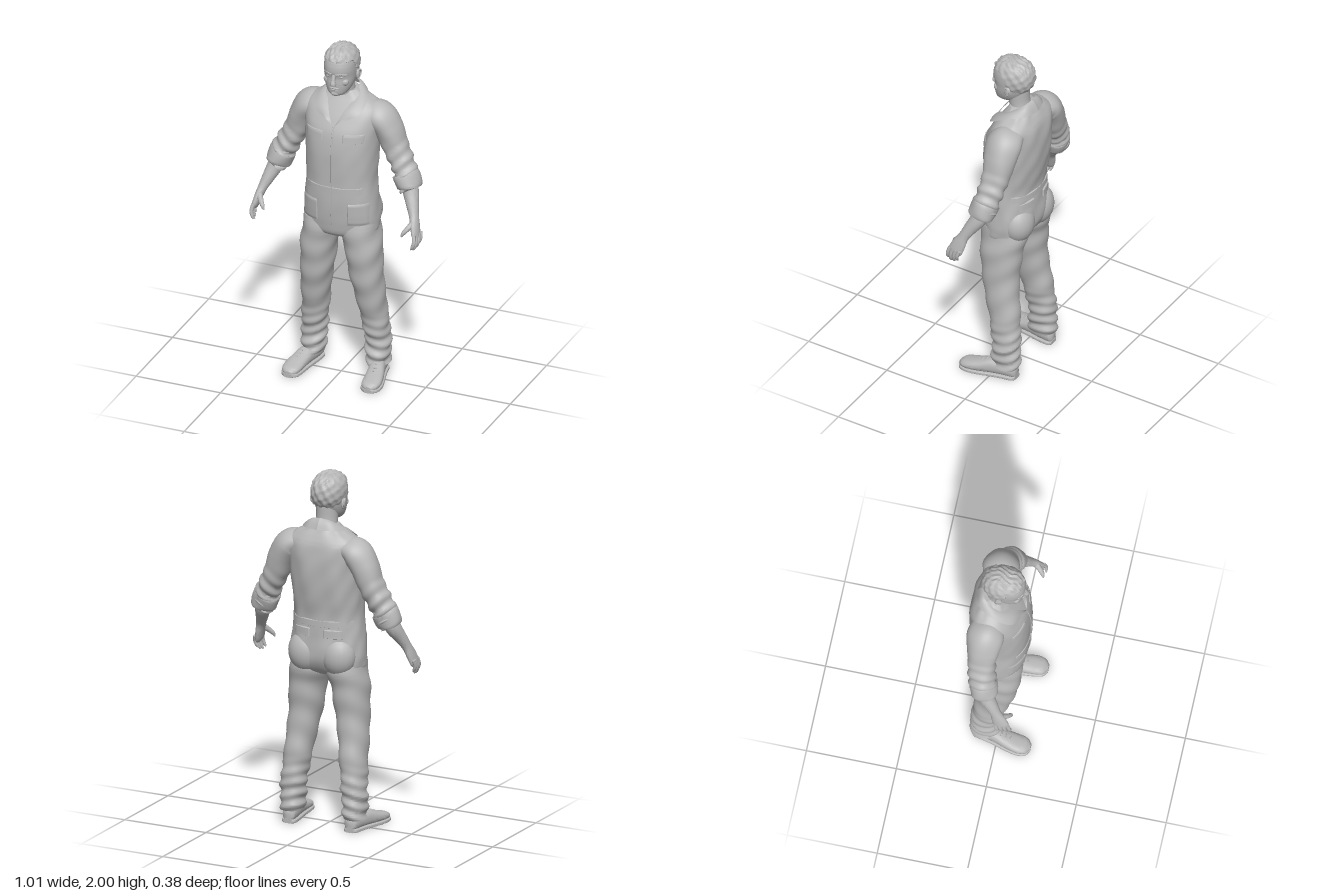
import * as THREE from 'three';
import { toCreasedNormals } from 'three/addons/utils/BufferGeometryUtils.js';

const V = (x, y, z) => new THREE.Vector3(x, y, z);
const spow = (v, p) => Math.sign(v) * Math.pow(Math.abs(v), p);

// Smooth skin over sections [x, y, z, radiusU, radiusV].
// axis 'y': level rings listed top down, 'z': upright rings listed back to front, 'path': rings square to the path
function loft(secs, { axis = 'y', n = 2, seg = 28, sub = 5, fold = null } = {}) {
  const path = new THREE.CatmullRomCurve3(secs.map(s => V(s[0], s[1], s[2])), false, 'catmullrom');
  const size = new THREE.CatmullRomCurve3(secs.map(s => V(s[3], s[4], 0)), false, 'catmullrom');
  const rows = (secs.length - 1) * sub, pos = [], idx = [];
  for (let i = 0; i <= rows; i++) {
    const t = i / rows, c = path.getPoint(t), r = size.getPoint(t);
    let u = V(1, 0, 0), v = axis === 'z' ? V(0, 1, 0) : V(0, 0, 1);
    if (axis === 'path') {
      const d = path.getTangent(t);
      v.addScaledVector(d, -v.dot(d)).normalize();
      u = v.clone().cross(d);
    }
    for (let j = 0; j < seg; j++) {
      const a = j / seg * Math.PI * 2, f = fold ? fold(t, a, c) : 0;
      const p = c.clone()
        .addScaledVector(u, spow(Math.cos(a), 2 / n) * (r.x + f))
        .addScaledVector(v, spow(Math.sin(a), 2 / n) * (r.y + f));
      pos.push(p.x, p.y, p.z);
      const k = i * seg + j, m = i * seg + (j + 1) % seg;
      if (i < rows) idx.push(k, m, k + seg, m, m + seg, k + seg);
    }
  }
  // end caps
  for (const [t, row] of [[0, 0], [1, rows]]) {
    const c = path.getPoint(t), k = pos.length / 3;
    pos.push(c.x, c.y, c.z);
    for (let j = 0; j < seg; j++) {
      const a = row * seg + j, b = row * seg + (j + 1) % seg;
      if (t) idx.push(k, a, b); else idx.push(k, b, a);
    }
  }
  const g = new THREE.BufferGeometry();
  g.setAttribute('position', new THREE.Float32BufferAttribute(pos, 3));
  g.setIndex(idx);
  return g;
}

const mirror = g => {
  const m = g.clone().scale(-1, 1, 1), ix = m.index.array;
  for (let i = 0; i < ix.length; i += 3) [ix[i], ix[i + 1]] = [ix[i + 1], ix[i]];
  return m;
};
const ball = (x, y, z, rx, ry, rz) => new THREE.SphereGeometry(1, 20, 14).scale(rx, ry, rz).translate(x, y, z);
const tube = (pts, r, seg = 24) => new THREE.TubeGeometry(new THREE.CatmullRomCurve3(pts), seg, r, 6);
// level sections given as [y, centreX, halfWidth, frontZ, backZ]
const level = rows => rows.map(([y, x, w, f, b]) => [x, y, (f + b) / 2, w, (f - b) / 2]);

const TORSO = level([
  [1.72, 0, .08, 0, -.115], [1.69, 0, .12, .015, -.135], [1.66, 0, .175, .035, -.155],
  [1.62, 0, .22, .062, -.175], [1.57, 0, .225, .092, -.185], [1.5, 0, .212, .125, -.19],
  [1.4, 0, .205, .14, -.187], [1.3, 0, .2, .142, -.175], [1.2, 0, .196, .14, -.16],
  [1.1, 0, .205, .14, -.162], [1.02, 0, .212, .135, -.168], [.95, 0, .214, .127, -.162],
  [.89, 0, .2, .112, -.13], [.86, 0, .1, .07, -.08]]);
const TN = 2.3;

// depth of the torso's front (side 1) or back (side -1)
function torsoZ(x, y, side = 1) {
  let i = 0;
  while (i < TORSO.length - 2 && TORSO[i + 1][1] > y) i++;
  const a = TORSO[i], b = TORSO[i + 1], k = (a[1] - y) / (a[1] - b[1]);
  const mix = j => a[j] + (b[j] - a[j]) * k;
  const q = Math.max(0, 1 - Math.pow(Math.abs(x) / mix(3), TN));
  return mix(2) + side * mix(4) * Math.pow(q, 1 / TN);
}

// Cloth panel draped on the torso, its rim sunk into the body
function panel(x0, x1, y0, y1, side = 1, lift = .006) {
  const g = new THREE.PlaneGeometry(1, 1, 12, 12), p = g.attributes.position;
  for (let i = 0; i < p.count; i++) {
    const u = p.getX(i) + .5, v = p.getY(i) + .5;
    const rim = Math.min(u, 1 - u, v, 1 - v) < .01;
    const x = x0 + (x1 - x0) * u, y = y0 + (y1 - y0) * v;
    p.setXYZ(i, x, y, torsoZ(x, y, side) + side * (rim ? -.004 : lift));
  }
  return g;
}

// Half of the folded collar, as a strip between neck edge and outer edge
function collarHalf() {
  const inner = new THREE.CatmullRomCurve3([V(.004, 1.54, .118), V(.045, 1.63, .072), V(.08, 1.695, -.02), V(.062, 1.745, -.1), V(0, 1.76, -.118)]);
  const outer = new THREE.CatmullRomCurve3([V(.05, 1.58, .108), V(.135, 1.625, .062), V(.14, 1.685, -.045), V(.085, 1.7, -.135), V(0, 1.7, -.158)]);
  const g = new THREE.PlaneGeometry(1, 1, 24, 4), p = g.attributes.position;
  for (let i = 0; i < p.count; i++) {
    const t = p.getX(i) + .5, k = .5 - p.getY(i);
    const q = inner.getPoint(t).lerp(outer.getPoint(t), k);
    p.setXYZ(i, q.x, q.y + .012 * Math.sin(k * Math.PI), q.z);
  }
  return g;
}

// Swept short hair: a rippled cap that dips under the skin below the hairline
function hairCap() {
  const g = new THREE.SphereGeometry(1, 72, 48), p = g.attributes.position;
  for (let i = 0; i < p.count; i++) {
    const d = V(p.getX(i), p.getY(i), p.getZ(i));
    const ang = Math.atan2(d.x, d.z), side = Math.sqrt(Math.max(0, 1 - d.y * d.y));
    const wave = (Math.sin(ang * 13 + d.y * 9) + .7 * Math.sin(ang * 7 - d.y * 17 + 1)) * .022 * side
      + .025 * Math.sin(d.x * 24 + d.z * 9 + 2 * Math.sin(d.z * 8)) * Math.max(0, d.y);
    const q = V(spow(d.x, .92) * .095, spow(d.y, .92) * .107, spow(d.z, .92) * .121);
    const hairline = THREE.MathUtils.lerp(.042, -.1, THREE.MathUtils.smoothstep(-q.z, -.05, .035));
    const k = THREE.MathUtils.smoothstep(q.y - hairline, -.008, .004);
    q.multiplyScalar((.78 + .22 * k) * (1 + wave * k));
    p.setXYZ(i, q.x, q.y + 1.89, q.z - .006);
  }
  return g;
}

export function createModel() {
  const model = new THREE.Group();
  model.name = 'standingMan';
  const grey = new THREE.MeshStandardMaterial({ color: 0xb8b8b8, side: THREE.DoubleSide });
  grey.name = 'plain grey';
  const add = (name, geo, crease = .7) => {
    const m = new THREE.Mesh(toCreasedNormals(geo, crease), grey);
    m.name = name;
    model.add(m);
  };
  const pair = (name, geo, crease) => {
    add('left' + name, geo, crease);
    add('right' + name, mirror(geo), crease);
  };

  // Overalls: body
  add('torso', loft(TORSO, { n: TN, seg: 56, fold: (t, a, c) =>
    .003 * Math.sin(a * 9 + c.y * 14) * Math.sin(c.y * 23) * (Math.sin(a) < 0 ? 1.4 : .5) }));
  pair('Seat', ball(.1, .985, -.095, .1, .115, .085));
  pair('Collar', collarHalf());
  const fly = [];
  for (let y = 1.54; y > .9; y -= .05) fly.push(V(0, y, torsoZ(0, y) + .001));
  add('zipPlacket', tube(fly, .005, 40));
  pair('ChestPocketFlap', panel(.055, .175, 1.46, 1.515));
  pair('HipPocket', panel(.085, .198, .96, 1.1));
  pair('BackPocket', panel(.04, .15, 1.09, 1.14, -1));
  for (const side of [1, -1]) add(side > 0 ? 'frontWaistBand' : 'backWaistBand', panel(-.185, .185, 1.15, 1.19, side, .004));

  // Overalls: legs with bunched cloth at the ankles
  const leg = level([
    [.96, .108, .1, .11, -.14], [.88, .112, .106, .118, -.145], [.8, .13, .1, .115, -.13], [.7, .138, .094, .105, -.12],
    [.6, .148, .087, .09, -.115], [.5, .16, .08, .068, -.125], [.4, .169, .074, .042, -.138], [.3, .18, .07, .02, -.145],
    [.2, .188, .068, .006, -.15], [.12, .19, .065, .01, -.15], [.07, .19, .06, .014, -.148]]);
  pair('TrouserLeg', loft(leg, { n: 2.2, seg: 36, sub: 8, fold: (t, a, c) =>
    .006 * Math.sin(c.y * 95 + 2.2 * Math.sin(a + 1)) * THREE.MathUtils.smoothstep(-c.y, -.42, -.2)
    + .003 * Math.sin(c.y * 40 + 3 * Math.sin(a)) }));

  // Shoes, toes turned slightly out
  const shoe = [[-.138, .022, .07], [-.12, .038, .09], [-.06, .043, .1], [0, .046, .1], [.06, .051, .08], [.12, .054, .063], [.165, .045, .05], [.188, .018, .034]];
  const toeX = z => .19 + .045 * THREE.MathUtils.smoothstep(z, -.14, .15);
  pair('Shoe', loft(shoe.map(([z, w, h]) => [toeX(z), h / 2 + .006, z, w, h / 2 - .004]), { axis: 'z', n: 2.4 }));
  pair('ShoeSole', loft(shoe.map(([z, w]) => [toeX(z), .011, z * 1.01, w + .004, .011]), { axis: 'z', n: 5 }), .5);
  for (let i = 0; i < 3; i++) {
    const z = .025 + i * .025, y = .094 - i * .009, x = toeX(z);
    pair('Lace' + (i + 1), tube([V(x - .026, y - .008, z), V(x, y + .002, z), V(x + .026, y - .008, z)], .004, 8));
  }

  // Sleeves, rolled at the elbow
  pair('Sleeve', loft([
    [.13, 1.6, -.07, .06, .08], [.2, 1.575, -.068, .082, .1], [.25, 1.505, -.07, .078, .092], [.285, 1.42, -.07, .07, .08],
    [.325, 1.34, -.062, .067, .075], [.36, 1.27, -.05, .067, .072], [.378, 1.22, -.042, .064, .069]],
  { axis: 'path', seg: 32, sub: 8, fold: (t, a) =>
    .006 * Math.sin(t * 46 + 2 * Math.sin(a + 2)) * THREE.MathUtils.smoothstep(t, .4, .75) + .002 * Math.sin(a * 4 + t * 9) }));
  pair('RolledCuff', loft([
    [.358, 1.265, -.048, .062, .066], [.361, 1.26, -.047, .074, .077], [.382, 1.21, -.038, .073, .075], [.39, 1.188, -.034, .066, .068], [.386, 1.195, -.035, .045, .045]],
  { axis: 'path', fold: (t, a) => .003 * Math.sin(a * 3 + t * 6) }));

  // Forearms and hands
  pair('Forearm', loft([
    [.375, 1.24, -.045, .045, .048], [.4, 1.17, -.025, .044, .046], [.425, 1.11, .01, .035, .037],
    [.447, 1.055, .04, .026, .031], [.462, 1.01, .06, .022, .04], [.474, .965, .077, .018, .043], [.478, .945, .084, .011, .036]], { axis: 'path' }));
  for (let i = 0; i < 4; i++) {
    const z = .118 - i * .022, len = [.065, .075, .07, .055][i], x = .476 + i * .004;
    pair('Finger' + (i + 1), loft([
      [x, .975, z - .008, .011, .011], [x + .005, .97 - len * .5, z + .004, .0105, .0105],
      [x - .002, .97 - len * .9, z + .008, .0095, .0095], [x - .012, .96 - len, z + .009, .004, .004]], { axis: 'path', seg: 10, sub: 3 }));
  }
  pair('Thumb', loft([
    [.455, 1.03, .07, .016, .018], [.434, 1.003, .1, .014, .015], [.416, .98, .118, .011, .011], [.406, .96, .124, .004, .004]],
  { axis: 'path', seg: 10, sub: 4 }));

  // Neck and head
  add('neck', loft([[0, 1.82, -.035, .062, .06], [0, 1.74, -.038, .06, .058], [0, 1.68, -.05, .064, .062], [0, 1.6, -.055, .08, .075]]));
  add('head', loft(level([
    [1.985, 0, .035, .045, -.045], [1.96, 0, .068, .085, -.085], [1.92, 0, .084, .107, -.105], [1.875, 0, .087, .113, -.108],
    [1.84, 0, .085, .104, -.102], [1.8, 0, .08, .105, -.085], [1.765, 0, .069, .103, -.06], [1.738, 0, .052, .098, -.025], [1.723, 0, .028, .08, .01]]),
  { n: 2.25, seg: 36 }));
  add('hair', hairCap(), .45);

  // Face
  add('nose', loft([[0, 1.862, .104, .009, .008], [0, 1.83, .111, .011, .014], [0, 1.805, .114, .017, .019], [0, 1.795, .108, .013, .012]], { seg: 14 }));
  add('upperLip', ball(0, 1.778, .1, .028, .006, .01));
  add('lowerLip', ball(0, 1.767, .099, .023, .006, .009));
  add('chin', ball(0, 1.742, .085, .026, .018, .02));
  pair('Brow', tube([V(.012, 1.862, .108), V(.035, 1.868, .101), V(.062, 1.86, .081)], .008, 10));
  pair('Eye', ball(.035, 1.845, .09, .015, .007, .011));
  pair('Cheek', ball(.045, 1.812, .07, .028, .025, .022));
  pair('Ear', ball(.091, 1.828, -.018, .01, .032, .019).rotateX(0));
  pair('EarRim', tube([V(.094, 1.8, -.008), V(.1, 1.825, -.034), V(.102, 1.853, -.026), V(.096, 1.853, -.006)], .005, 14));

  return model;
}
